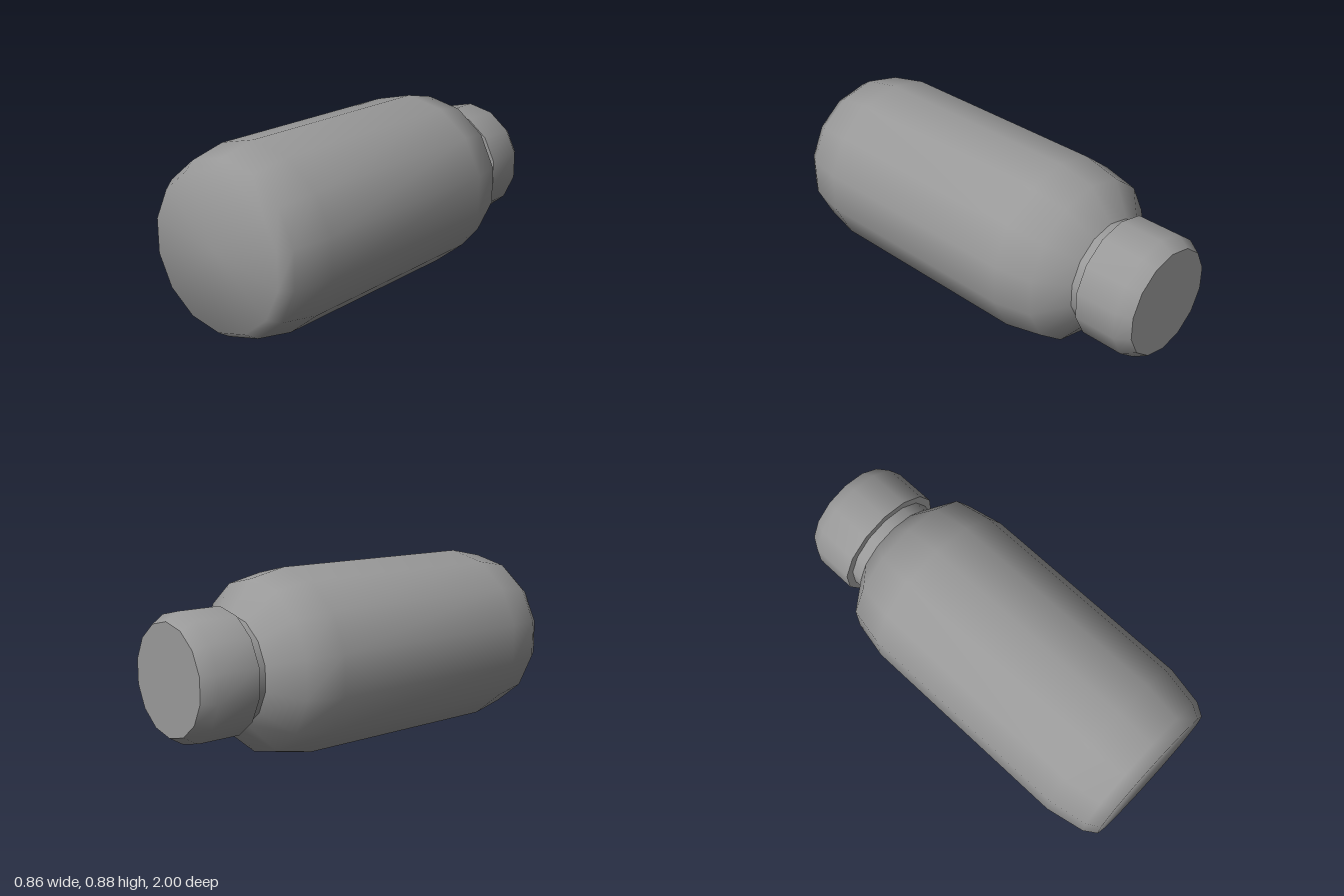
import * as THREE from 'three';

const SIDES = 14;
const CENTRE_Y = 0.441;

// Turns a profile of [radius, z] points around the z axis, evenly smoothed along its length
function turned(profile) {
  const pts = profile.map(([r, z]) => new THREE.Vector2(r, z));
  const geo = new THREE.LatheGeometry(pts, SIDES);
  const seg = pts.slice(1).map((p, i) => new THREE.Vector2(p.y - pts[i].y, pts[i].x - p.x).normalize());
  const normal = geo.attributes.normal;
  for (let i = 0; i <= SIDES; i++) {
    const a = (i / SIDES) * Math.PI * 2;
    pts.forEach((p, j) => {
      const n = (seg[j - 1] ?? seg[j]).clone().add(seg[j] ?? seg[j - 1]).normalize();
      normal.setXYZ(i * pts.length + j, n.x * Math.sin(a), n.y, n.x * Math.cos(a));
    });
  }
  geo.rotateX(Math.PI / 2);
  geo.translate(0, CENTRE_Y, 0);
  return geo;
}

export function createModel() {
  const group = new THREE.Group();
  group.name = 'bottle';
  const grey = new THREE.MeshStandardMaterial({ color: 0x999999 });
  grey.name = 'grey';

  const parts = {
    // Cap: flat end, bevelled side and underside lip
    capEnd: [[0, -1], [0.257, -1]],
    capSide: [[0.257, -1], [0.296, -0.935], [0.296, -0.723]],
    capLip: [[0.296, -0.723], [0.25, -0.723]],
    // Neck between cap and shoulder
    neck: [[0.257, -0.73], [0.257, -0.665]],
    // Body: shoulder, straight side and rounded base
    body: [[0.257, -0.665], [0.403, -0.55], [0.441, -0.365], [0.441, 0.75],
      [0.403, 0.94], [0.364, 1], [0, 1]],
  };
  for (const [name, profile] of Object.entries(parts)) {
    const mesh = new THREE.Mesh(turned(profile), grey);
    mesh.name = name;
    group.add(mesh);
  }
  return group;
}
